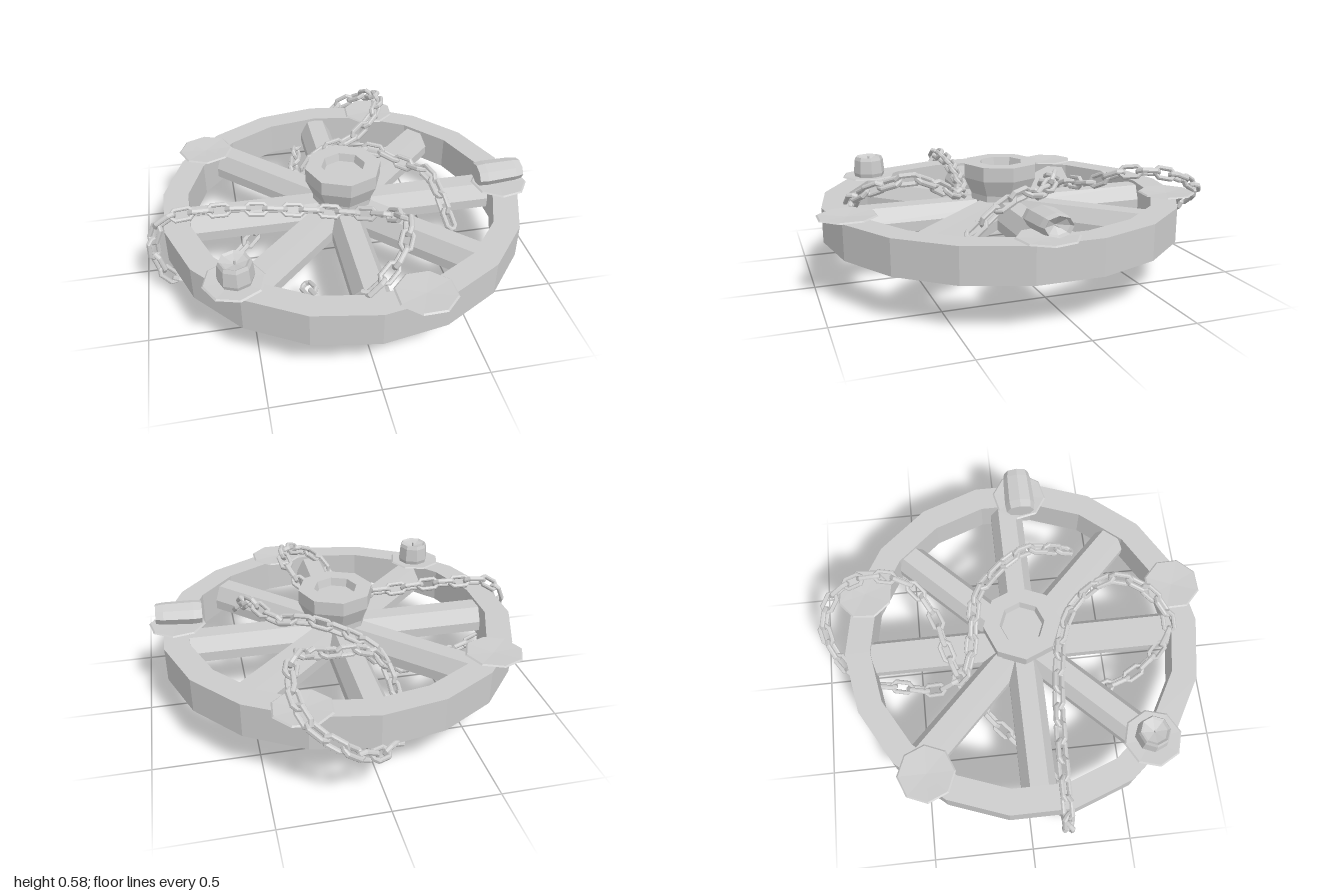
import * as THREE from 'three';

const flat = new THREE.MeshStandardMaterial({ color: 0xcccccc, flatShading: true });

function add(parent, name, geometry, x = 0, y = 0, z = 0) {
  const mesh = new THREE.Mesh(geometry, flat);
  mesh.name = name;
  mesh.position.set(x, y, z);
  parent.add(mesh);
  return mesh;
}

const lathe = (pts, sides) =>
  new THREE.LatheGeometry(pts.map(([r, y]) => new THREE.Vector2(r, y)), sides);

// Elongated eight-cornered ring, length along x
function linkGeometry() {
  const outline = (l, w, c) => [
    [l, -w + c], [l, w - c], [l - c, w], [-l + c, w],
    [-l, w - c], [-l, -w + c], [-l + c, -w], [l - c, -w],
  ].map(([x, y]) => new THREE.Vector2(x, y));
  const shape = new THREE.Shape(outline(0.062, 0.036, 0.024));
  shape.holes.push(new THREE.Path(outline(0.041, 0.016, 0.01)));
  const geo = new THREE.ExtrudeGeometry(shape, {
    depth: 0.012, bevelEnabled: true, bevelThickness: 0.006,
    bevelSize: 0.005, bevelOffset: -0.005, bevelSegments: 1,
  });
  return geo.translate(0, 0, -0.006);
}

// Links spaced along a curve, each rolled a quarter turn from the last
function chain(name, points) {
  const group = new THREE.Group();
  group.name = name;
  const curve = new THREE.CatmullRomCurve3(points.map((p) => new THREE.Vector3(...p)));
  const count = Math.round(curve.getLength() / 0.088);
  const geo = linkGeometry();
  const up = new THREE.Vector3(0, 1, 0);
  let side = new THREE.Vector3(0, 0, 1);
  for (let i = 0; i <= count; i++) {
    const t = curve.getTangentAt(i / count);
    // Carry the frame along the curve so that the roll stays even
    if (i === 0) side.crossVectors(t, up);
    side.addScaledVector(t, -side.dot(t)).normalize();
    const normal = new THREE.Vector3().crossVectors(side, t);
    const link = add(group, 'chainLink', geo);
    link.quaternion.setFromRotationMatrix(new THREE.Matrix4().makeBasis(t, normal, new THREE.Vector3().crossVectors(t, normal)));
    link.rotateX(i % 2 ? 0.45 : 0.45 + Math.PI / 2);
    link.position.copy(curve.getPointAt(i / count));
  }
  return group;
}

// Candle stub with a sunken top and a short wick
function candle(name) {
  const group = new THREE.Group();
  group.name = name;
  add(group, 'wax', lathe([[0, 0], [0.078, 0], [0.084, 0.02], [0.078, 0.09], [0.07, 0.108], [0.058, 0.1], [0, 0.085]], 8));
  add(group, 'wick', new THREE.CylinderGeometry(0.006, 0.006, 0.025, 5), 0, 0.095, 0);
  return group;
}

export function createModel() {
  const model = new THREE.Group();
  model.name = 'wheelChandelier';

  const wheel = new THREE.Group();
  wheel.name = 'wheel';
  wheel.position.set(0.01, 0, 0.05);
  model.add(wheel);

  // Rim
  add(wheel, 'rim', lathe([[0.77, 0.235], [0.895, 0.235], [0.895, 0.405], [0.77, 0.405], [0.77, 0.235]], 18));

  // Hub, slightly flared, with a shallow socket
  add(wheel, 'hub', lathe([[0, 0.28], [0.15, 0.28], [0.155, 0.42], [0.19, 0.5], [0.19, 0.57],
    [0.11, 0.57], [0.1, 0.53], [0, 0.53]], 8), 0.01, 0, 0);

  // Four bars through the centre form the eight spokes
  const section = new THREE.Shape([
    [-0.02, 0.231], [0.02, 0.231], [0.085, 0.27], [0.085, 0.32],
    [0.045, 0.39], [-0.045, 0.39], [-0.085, 0.32], [-0.085, 0.27],
  ].map(([x, y]) => new THREE.Vector2(x, y)));
  const bar = new THREE.ExtrudeGeometry(section, { depth: 1.66, bevelEnabled: false }).translate(0, 0, -0.83);
  for (let i = 0; i < 4; i++) add(wheel, 'spokePair', bar).rotation.y = (i * Math.PI) / 4;

  // Five drip plates on the rim
  const plate = lathe([[0, 0.398], [0.07, 0.4], [0.143, 0.412], [0.135, 0.418], [0.07, 0.414], [0, 0.41]], 8);
  [[-0.635, -0.48], [0.33, -0.73], [0.82, 0.125], [-0.58, 0.62], [0.215, 0.855]].forEach(([x, z], i) => {
    add(model, 'dripPlate', plate, x, 0, z).rotation.y = i * 0.3;
  });

  // Standing candle
  const standing = candle('standingCandle');
  standing.position.set(-0.57, 0.415, 0.615);
  model.add(standing);

  // Fallen candle, longer and lying along x
  const fallen = candle('fallenCandle');
  fallen.scale.set(0.65, 2.1, 0.93);
  fallen.rotation.z = -Math.PI / 2 + 0.05;
  fallen.position.set(0.695, 0.472, 0.12);
  model.add(fallen);

  // Chain looping over and under the wheel
  model.add(chain('chain', [
    // loose end inside the front of the rim
    [-0.23, 0.16, 0.46], [-0.19, 0.2, 0.6], [-0.11, 0.28, 0.73], [0.0, 0.42, 0.8],
    [0.14, 0.51, 0.71], [0.215, 0.555, 0.53], [0.16, 0.47, 0.36], [0.04, 0.43, 0.27],
    // along the top and over the side
    [-0.2, 0.44, 0.21], [-0.6, 0.47, 0.17], [-0.87, 0.44, 0.165], [-0.935, 0.3, 0.17],
    [-0.88, 0.12, 0.18], [-0.7, 0.045, 0.16], [-0.5, 0.1, 0.01], [-0.34, 0.17, -0.14],
    // up between the spokes and over the back
    [-0.18, 0.26, -0.26], [-0.04, 0.41, -0.33], [0.15, 0.45, -0.38], [0.31, 0.53, -0.5],
    [0.37, 0.52, -0.7], [0.33, 0.44, -0.88], [0.2, 0.35, -0.955], [0.06, 0.25, -0.91],
    // back under the rim and up beside the hub
    [-0.08, 0.215, -0.78], [-0.13, 0.22, -0.6], [-0.17, 0.24, -0.4], [-0.12, 0.35, -0.25],
    [0.02, 0.44, -0.2], [0.2, 0.51, -0.16], [0.35, 0.48, -0.05], [0.44, 0.5, 0.1],
    [0.47, 0.45, 0.22], [0.49, 0.37, 0.33],
  ]));

  return model;
}
